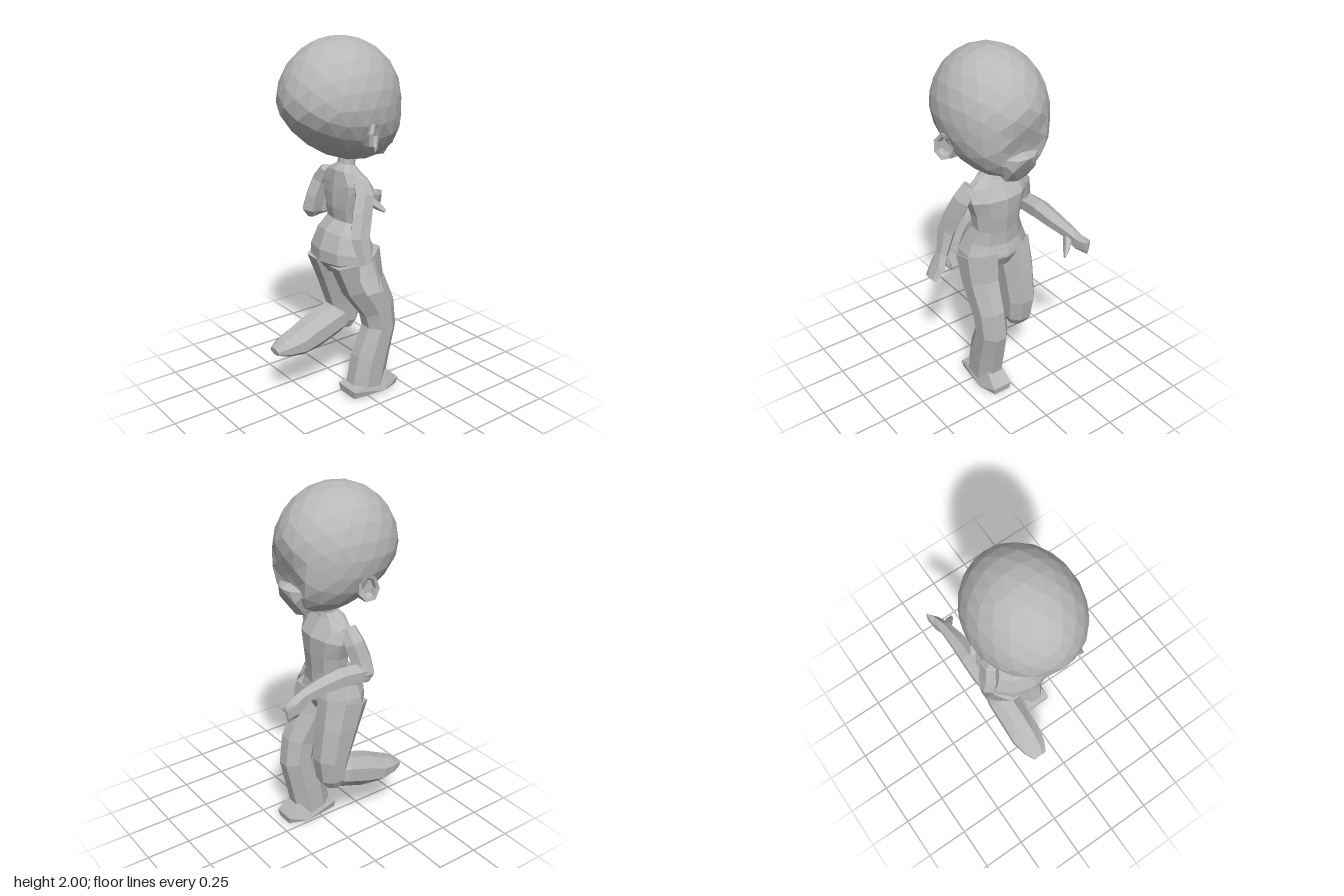
import * as THREE from 'three';
import { ConvexGeometry } from 'three/addons/geometries/ConvexGeometry.js';

const CX = -0.02; // body's mirror plane

// Skin a closed tube through rings [x, y, z, halfWidth, halfDepth]; axis overrides the ring normal.
function loft(rings, sides = 8, axis = null) {
  const centres = rings.map((r) => new THREE.Vector3(r[0], r[1], r[2]));
  const pts = rings.map((r, i) => {
    const t = axis ? axis.clone() : centres[Math.min(i + 1, rings.length - 1)].clone()
      .sub(centres[Math.max(i - 1, 0)]);
    t.normalize();
    const u = new THREE.Vector3(1, 0, 0).addScaledVector(t, -t.x).normalize();
    const v = t.clone().cross(u);
    return Array.from({ length: sides }, (_, j) => {
      const a = ((j + 0.5) / sides) * Math.PI * 2;
      const k = 1 / Math.cos(Math.PI / sides);
      return centres[i].clone().addScaledVector(u, Math.cos(a) * r[3] * k)
        .addScaledVector(v, Math.sin(a) * r[4] * k);
    });
  });
  const tri = [];
  const last = rings.length - 1;
  for (let j = 0; j < sides; j++) {
    const n = (j + 1) % sides;
    tri.push(centres[0], pts[0][n], pts[0][j]);
    for (let i = 0; i < last; i++) {
      tri.push(pts[i][j], pts[i][n], pts[i + 1][n], pts[i][j], pts[i + 1][n], pts[i + 1][j]);
    }
    tri.push(centres[last], pts[last][j], pts[last][n]);
  }
  const g = new THREE.BufferGeometry().setFromPoints(tri);
  g.computeVertexNormals();
  return g;
}

// Convex hull of points
const hull = (list) => new ConvexGeometry(list.map((p) => new THREE.Vector3(...p)));

// Round skull, narrowing and sliding forward towards the jaw, with a flattened face
function skull() {
  const g = new THREE.IcosahedronGeometry(1, 3);
  const p = g.attributes.position;
  for (let i = 0; i < p.count; i++) {
    const t = Math.max(0, -0.1 - p.getY(i)) / 0.9;
    const y = 1.675 + p.getY(i) * 0.325;
    const z = 0.07 + p.getZ(i) * 0.335 - 0.11 * t;
    const face = -0.21 - Math.max(0, y - 1.54) * 0.3;
    p.setXYZ(i, CX + p.getX(i) * 0.29, y, Math.max(z, face));
  }
  g.computeVertexNormals();
  return g;
}

export function createModel() {
  const model = new THREE.Group();
  const clay = new THREE.MeshStandardMaterial({ color: 0xb8b8b8, flatShading: true });
  clay.name = 'grey clay';
  const add = (name, geometry) => {
    const m = new THREE.Mesh(geometry, clay);
    m.name = name;
    model.add(m);
  };

  // Head
  add('head', skull());
  const muzzle = [[CX, 1.515, -0.27], [CX, 1.535, -0.19], [CX, 1.35, -0.18], [CX, 1.36, -0.05]];
  for (const s of [-1, 1]) {
    muzzle.push([CX + s * 0.05, 1.505, -0.25], [CX + s * 0.12, 1.51, -0.19], [CX + s * 0.15, 1.52, -0.12],
      [CX + s * 0.07, 1.44, -0.23], [CX + s * 0.07, 1.365, -0.17], [CX + s * 0.1, 1.42, -0.1]);
  }
  add('muzzle', hull(muzzle));

  // Cupped ears, opening outwards and towards the face
  for (const s of [-1, 1]) {
    const x = (d) => CX + s * d;
    add(s > 0 ? 'leftEar' : 'rightEar', loft([
      [x(0.2), 1.5, 0.06, 0.03, 0.04],
      [x(0.265), 1.525, 0.065, 0.05, 0.068],
      [x(0.29), 1.53, 0.058, 0.048, 0.068],
      [x(0.286), 1.53, 0.06, 0.033, 0.05],
      [x(0.262), 1.53, 0.07, 0.024, 0.036],
    ], 7, new THREE.Vector3(s * 0.8, 0, -0.6)));
  }

  // Torso and neck
  add('torso', loft([
    [-0.025, 0.76, 0.04, 0.12, 0.1],
    [-0.025, 0.83, 0.05, 0.2, 0.145],
    [-0.025, 0.87, 0.05, 0.195, 0.145],
    [-0.025, 0.95, 0.04, 0.165, 0.12],
    [-0.022, 1.02, 0.012, 0.135, 0.092],
    [-0.022, 1.1, 0.012, 0.145, 0.1],
    [-0.022, 1.19, 0.01, 0.175, 0.1],
    [-0.022, 1.25, 0.03, 0.175, 0.075],
    [-0.022, 1.3, 0.035, 0.1, 0.06],
    [-0.022, 1.33, 0.025, 0.05, 0.042],
    [-0.022, 1.41, 0.015, 0.045, 0.04],
  ], 10));

  // Standing leg and foot
  add('leftLeg', loft([
    [0.08, 0.84, 0.045, 0.1, 0.14],
    [0.088, 0.68, 0.0, 0.092, 0.12],
    [0.098, 0.52, -0.09, 0.08, 0.1],
    [0.095, 0.4, -0.11, 0.08, 0.095],
    [0.088, 0.22, -0.055, 0.082, 0.11],
    [0.085, 0.06, -0.025, 0.08, 0.11],
  ]));
  add('leftFoot', hull([
    [0.02, 0.015, 0.1], [0.15, 0.015, 0.1], [0.01, 0.06, 0.105], [0.16, 0.06, 0.105],
    [-0.005, 0.015, -0.1], [0.175, 0.015, -0.1], [0.04, 0.01, -0.205], [0.14, 0.01, -0.205],
    [0.03, 0.05, -0.21], [0.15, 0.05, -0.21], [0.04, 0.12, -0.14], [0.14, 0.12, -0.14], [0.085, 0, 0],
  ]));

  // Bent leg, its shin lifted behind
  add('rightThigh', loft([
    [-0.13, 0.84, 0.045, 0.1, 0.14],
    [-0.138, 0.68, 0.0, 0.095, 0.12],
    [-0.14, 0.5, -0.04, 0.085, 0.1],
    [-0.14, 0.38, -0.04, 0.078, 0.075],
    [-0.14, 0.33, -0.03, 0.055, 0.045],
  ]));
  add('rightShinAndFoot', loft([
    [-0.14, 0.42, -0.09, 0.06, 0.05],
    [-0.14, 0.395, 0.03, 0.083, 0.09],
    [-0.14, 0.345, 0.18, 0.085, 0.092],
    [-0.14, 0.315, 0.28, 0.088, 0.075],
    [-0.14, 0.305, 0.37, 0.07, 0.05],
    [-0.14, 0.295, 0.43, 0.04, 0.02],
  ]));

  // Lowered arm
  add('leftArm', loft([
    [0.125, 1.27, 0.04, 0.03, 0.04],
    [0.17, 1.2, 0.05, 0.04, 0.05],
    [0.195, 1.11, 0.085, 0.042, 0.055],
    [0.226, 1.0, 0.12, 0.038, 0.052],
    [0.265, 0.87, 0.11, 0.026, 0.036],
    [0.295, 0.8, 0.11, 0.022, 0.055],
    [0.343, 0.73, 0.11, 0.008, 0.045],
  ], 6));
  add('leftThumb', loft([
    [0.272, 0.87, 0.1, 0.016, 0.025], [0.25, 0.81, 0.08, 0.014, 0.02], [0.226, 0.765, 0.07, 0.005, 0.008],
  ], 5));

  // Raised arm, reaching out ahead of the face
  add('rightUpperArm', loft([
    [-0.17, 1.27, 0.04, 0.03, 0.04],
    [-0.215, 1.2, 0.05, 0.04, 0.05],
    [-0.235, 1.11, 0.075, 0.042, 0.055],
    [-0.255, 1.03, 0.085, 0.045, 0.055],
    [-0.255, 0.99, 0.08, 0.025, 0.03],
  ], 6));
  add('rightForearm', loft([
    [-0.255, 1.03, 0.12, 0.03, 0.03],
    [-0.258, 1.04, 0.04, 0.045, 0.05],
    [-0.255, 1.05, -0.08, 0.047, 0.05],
    [-0.255, 1.04, -0.2, 0.042, 0.04],
    [-0.265, 1.02, -0.31, 0.03, 0.036],
    [-0.28, 0.985, -0.37, 0.024, 0.05],
    [-0.3, 0.975, -0.43, 0.008, 0.042],
  ], 6));
  add('rightThumb', loft([
    [-0.262, 1.0, -0.31, 0.022, 0.025], [-0.22, 0.96, -0.35, 0.015, 0.02], [-0.185, 0.93, -0.378, 0.005, 0.008],
  ], 5));

  return model;
}
